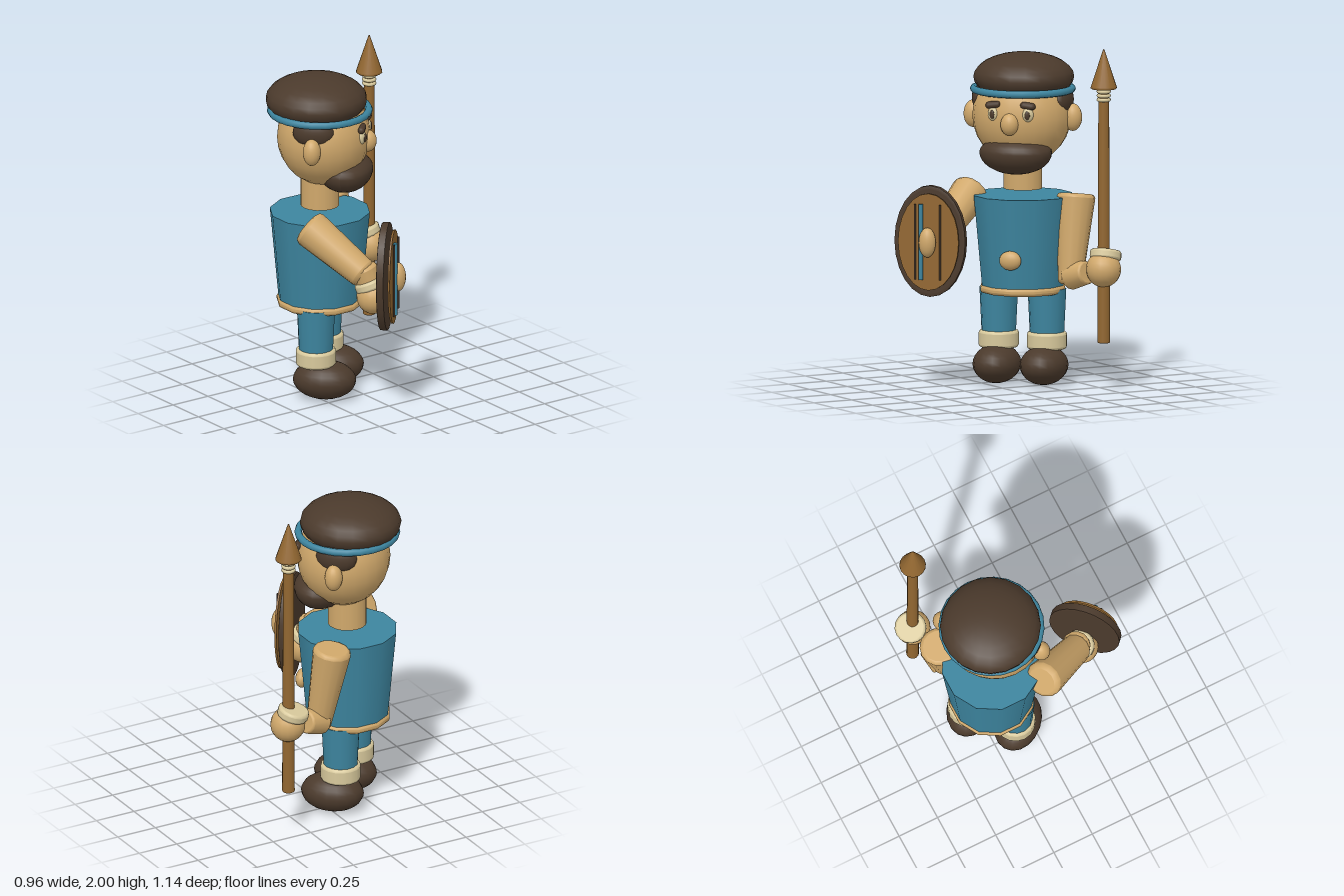
import * as THREE from 'three';

const mat = (name, color) => Object.assign(new THREE.MeshStandardMaterial({ color }), { name });
const V = (x, y, z) => new THREE.Vector3(x, y, z);

export function createModel() {
  const skin = mat('skin', 0xd0a86b);
  const hair = mat('dark brown', 0x4b3a2c);
  const blue = mat('blue cloth', 0x3d859f);
  const cream = mat('cream', 0xd8c99c);
  const wood = mat('wood', 0x926731);

  const root = new THREE.Group();
  root.name = 'spearman';
  // Body group: turned so the figure looks between +x and +z
  const body = new THREE.Group();
  body.name = 'body';
  body.position.set(-0.153, 0, -0.22);
  body.rotation.y = Math.PI / 4;
  root.add(body);

  function add(parent, name, geo, material, x = 0, y = 0, z = 0) {
    const m = new THREE.Mesh(geo, material);
    m.name = name;
    m.position.set(x, y, z);
    parent.add(m);
    return m;
  }
  function ball(parent, name, material, p, r, seg = 18) {
    const m = add(parent, name, new THREE.SphereGeometry(1, seg, 14), material, ...p);
    m.scale.set(...r);
    return m;
  }
  // Closed round bar along y with bevelled ends: r0 at the bottom, r1 at the top
  function barGeometry(r0, r1, h, bevel, seg) {
    const b = bevel, k = b * 0.3, s = 0.0015;
    const pts = [
      [0, 0], [r0 - b, 0], [r0 - b + s, 0], [r0 - k, k], [r0, b], [r0, b + s],
      [r1, h - b - s], [r1, h - b], [r1 - k, h - k], [r1 - b + s, h], [r1 - b, h], [0, h],
    ].map(([x, y]) => new THREE.Vector2(x, y));
    return new THREE.LatheGeometry(pts, seg);
  }
  // Bar running from point a to point b
  function limb(parent, name, material, a, b, ra, rb, bevel = 0.02, seg = 14) {
    const d = b.clone().sub(a);
    const m = add(parent, name, barGeometry(ra, rb, d.length(), bevel, seg), material, a.x, a.y, a.z);
    m.quaternion.setFromUnitVectors(V(0, 1, 0), d.normalize());
    return m;
  }

  // Torso, hem, neck and buckle
  add(body, 'torso', new THREE.CylinderGeometry(0.293, 0.243, 0.535, 12), blue, 0, 0.8375, 0);
  add(body, 'hem', barGeometry(0.253, 0.253, 0.046, 0.016, 12), skin, 0, 0.535, 0);
  add(body, 'neck', new THREE.CylinderGeometry(0.113, 0.113, 0.22, 16), skin, 0, 1.25, 0);
  ball(body, 'buckle', skin, [0, 0.75, 0.268], [0.066, 0.056, 0.04]);

  // Legs, cuffs and shoes
  for (const s of [-1, 1]) {
    const x = s * 0.145;
    add(body, 'leg', new THREE.CylinderGeometry(0.112, 0.098, 0.3, 14), blue, x, 0.41, 0);
    add(body, 'legCuff', barGeometry(0.117, 0.117, 0.1, 0.015, 16), cream, x, 0.207, 0);
    ball(body, 'shoe', hair, [s * 0.142, 0.117, 0.05], [0.137, 0.114, 0.185]);
  }

  // Head
  ball(body, 'head', skin, [0, 1.57, 0.022], [0.288, 0.29, 0.27], 24);
  ball(body, 'hairCap', hair, [0, 1.79, -0.02], [0.292, 0.142, 0.295], 20);
  const band = add(body, 'headband', new THREE.TorusGeometry(0.285, 0.022, 8, 24), blue, 0, 1.723, 0);
  band.rotation.x = Math.PI / 2;
  ball(body, 'nose', skin, [0, 1.548, 0.283], [0.053, 0.065, 0.05]);

  // Beard: rounded bulk, shallower above its widest line
  const beardGeo = new THREE.SphereGeometry(1, 22, 16);
  const bp = beardGeo.attributes.position;
  for (let i = 0; i < bp.count; i++) {
    const y = bp.getY(i);
    bp.setXYZ(i, bp.getX(i) * 0.215, y * (y > 0 ? 0.09 : 0.13), bp.getZ(i) * 0.158);
  }
  beardGeo.computeVertexNormals();
  add(body, 'beard', beardGeo, hair, 0, 1.37, 0.152);

  for (const s of [-1, 1]) {
    ball(body, 'ear', skin, [s * 0.3, 1.565, 0], [0.055, 0.08, 0.052]);
    ball(body, 'sideburn', hair, [s * 0.235, 1.665, 0], [0.064, 0.09, 0.122]);
    const eye = ball(body, 'eye', cream, [s * 0.105, 1.605, 0.263], [0.033, 0.042, 0.022]);
    const pupil = ball(body, 'pupil', hair, [s * 0.106, 1.603, 0.282], [0.016, 0.026, 0.008]);
    const brow = add(body, 'eyebrow', new THREE.CapsuleGeometry(0.021, 0.05, 4, 10), hair, s * 0.105, 1.658, 0.264);
    brow.rotation.z = Math.PI / 2 - s * 0.12;
    eye.rotation.y = pupil.rotation.y = s * 0.35;
  }

  // Left arm, hand and wrist cuff beside the spear
  limb(root, 'leftUpperArm', skin, V(0.13, 0.6, -0.375), V(0.075, 1.12, -0.447), 0.072, 0.112, 0.022);
  limb(root, 'leftForearm', skin, V(0.115, 0.65, -0.385), V(0.245, 0.68, -0.425), 0.085, 0.07, 0.012);
  ball(root, 'leftHand', skin, [0.378, 0.713, -0.458], [0.102, 0.104, 0.102]);
  limb(root, 'leftWristCuff', cream, V(0.363, 0.765, -0.478), V(0.352, 0.82, -0.49), 0.092, 0.092, 0.014, 16);

  // Right arm, hand and wrist cuff behind the shield
  limb(root, 'rightUpperArm', skin, V(-0.215, 0.87, 0.315), V(-0.39, 1.115, -0.015), 0.088, 0.112, 0.028);
  limb(root, 'rightForearm', skin, V(-0.187, 0.79, 0.335), V(-0.222, 0.92, 0.29), 0.07, 0.085);
  ball(root, 'rightHand', skin, [-0.185, 0.745, 0.35], [0.098, 0.1, 0.098]);
  limb(root, 'rightWristCuff', cream, V(-0.188, 0.79, 0.338), V(-0.2, 0.842, 0.32), 0.09, 0.09, 0.014, 16);

  // Spear
  const spear = new THREE.Group();
  spear.name = 'spear';
  spear.position.set(0.376, 0, -0.461);
  root.add(spear);
  add(spear, 'shaft', barGeometry(0.037, 0.031, 1.5, 0.006, 14), wood, 0, 0.283, 0);
  add(spear, 'spearhead', new THREE.LatheGeometry(
    [[0, 1.767], [0.07, 1.767], [0.0705, 1.767], [0.077, 1.773], [0.075, 1.782], [0.004, 1.996], [0, 2]]
      .map(([x, y]) => new THREE.Vector2(x, y)), 16), wood);
  for (const y of [1.752, 1.728, 1.704]) {
    const ring = add(spear, 'spearBinding', new THREE.TorusGeometry(0.031, 0.011, 8, 16), cream, 0, y, 0);
    ring.rotation.x = Math.PI / 2;
  }

  // Shield: oval board, wooden face plate, stripes and boss
  const shield = new THREE.Group();
  shield.name = 'shield';
  shield.position.set(-0.426, 0.875, 0.451);
  body.add(shield);
  function oval(name, material, rx, ry, depth, bevel, z) {
    const g = barGeometry(1, 1, 1, bevel, 24).rotateX(Math.PI / 2);
    add(shield, name, g, material, 0, 0, z).scale.set(rx, ry, depth);
  }
  oval('shieldBoard', hair, 0.213, 0.325, 0.046, 0.06, -0.023);
  oval('shieldFace', wood, 0.182, 0.283, 0.012, 0.02, 0.042);
  for (const [x, r, material] of [[-0.077, 0.006, hair], [0.074, 0.006, hair], [-0.042, 0.014, blue]]) {
    add(shield, 'shieldStripe', new THREE.CylinderGeometry(r, r, 0.44, 10), material, x, 0, 0.064);
  }
  ball(shield, 'shieldBoss', skin, [0, 0, 0.075], [0.05, 0.087, 0.045]);

  return root;
}
